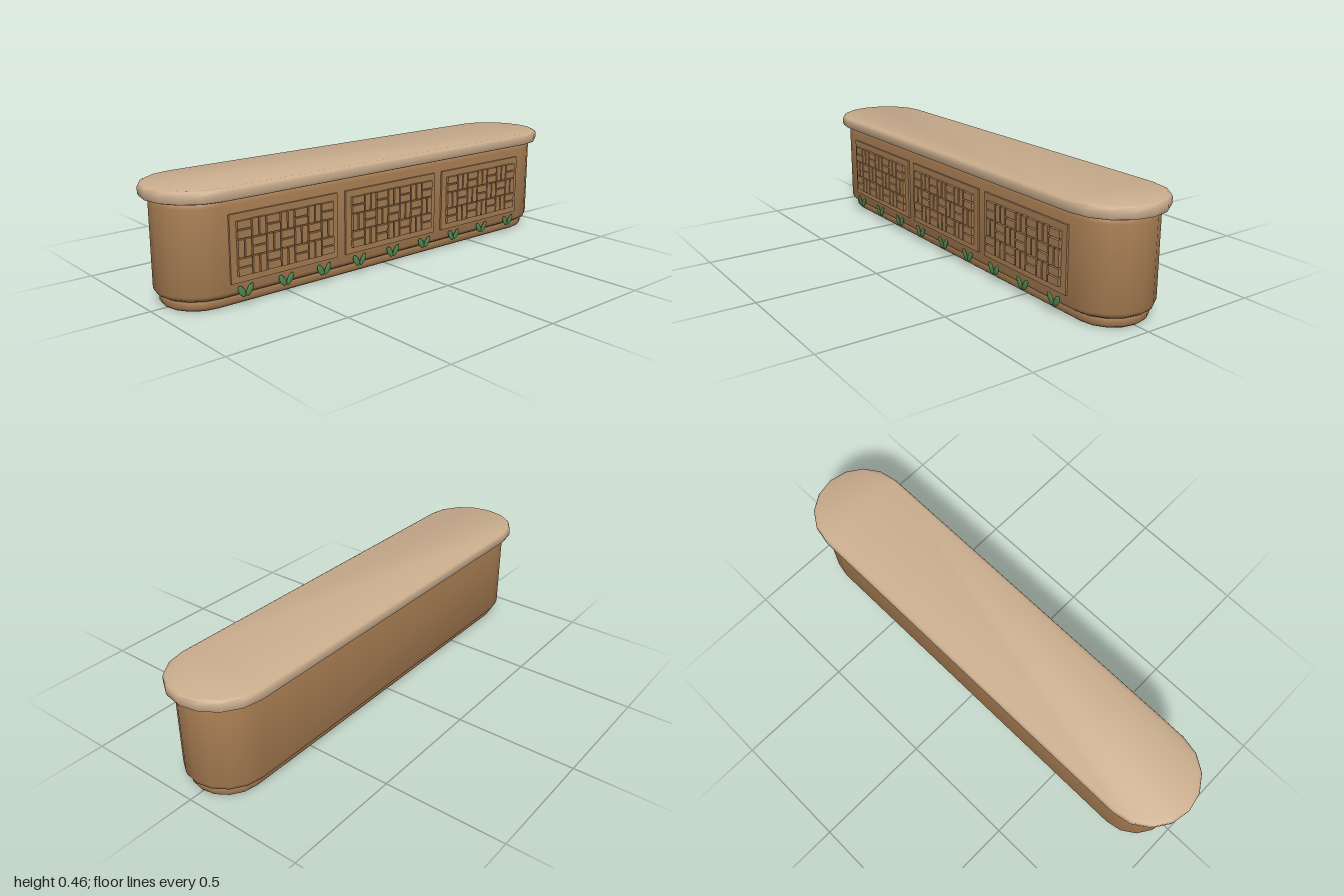
import * as THREE from 'three';
import { toCreasedNormals } from 'three/addons/utils/BufferGeometryUtils.js';

const mat = (name, color) => {
  const m = new THREE.MeshStandardMaterial({ color });
  m.name = name;
  return m;
};

// Capsule-shaped solid: profile is a list of [end radius, y] from bottom to top
function capsuleSolid(cx, profile, seg = 8) {
  const pos = [], index = [], n = 2 * (seg + 1);
  for (const [r, y] of profile) {
    for (let i = 0; i < n; i++) {
      const side = i <= seg ? 1 : -1;
      const a = ((i % (seg + 1)) / seg) * Math.PI - Math.PI / 2;
      pos.push(side * (cx + r * Math.cos(a)), y, -side * r * Math.sin(a));
    }
  }
  for (let k = 0; k < profile.length - 1; k++) {
    for (let i = 0; i < n; i++) {
      const a = k * n + i, b = k * n + (i + 1) % n;
      index.push(a, b, b + n, a, b + n, a + n);
    }
  }
  const top = (profile.length - 1) * n;
  for (let i = 1; i < n - 1; i++) {
    index.push(0, i + 1, i, top, top + i, top + i + 1);
  }
  const g = new THREE.BufferGeometry();
  g.setAttribute('position', new THREE.Float32BufferAttribute(pos, 3));
  g.setIndex(index);
  return toCreasedNormals(g, 0.75);
}

export function createModel() {
  const root = new THREE.Group();
  root.name = 'counter';
  const wood = mat('warm wood', 0xa67c52);
  const tan = mat('pale worktop', 0xcbae8e);
  const green = mat('leaf green', 0x4f8a50);

  const add = (parent, name, geo, material, x = 0, y = 0, z = 0) => {
    const m = new THREE.Mesh(geo, material);
    m.name = name;
    m.position.set(x, y, z);
    parent.add(m);
    return m;
  };

  // Plinth, body and worktop
  add(root, 'plinth', capsuleSolid(0.802,
    [[0.13, 0], [0.138, 0.006], [0.143, 0.014], [0.143, 0.036], [0.138, 0.044]]), wood);
  add(root, 'body', capsuleSolid(0.797,
    [[0.152, 0.042], [0.164, 0.05], [0.169, 0.064], [0.169, 0.384], [0.165, 0.398], [0.156, 0.408]]), wood);
  add(root, 'worktop', capsuleSolid(0.8,
    [[0.185, 0.405], [0.196, 0.409], [0.2, 0.418], [0.2, 0.441], [0.196, 0.45], [0.185, 0.455]]), tan);

  // Front panels with a basket weave of paired slats
  const cols = 7, rows = 3, cw = 0.0625, ch = 0.07;
  const flat = new THREE.BoxGeometry(0.057, 0.029, 0.013);
  const upright = new THREE.BoxGeometry(0.025, 0.066, 0.013);
  for (const px of [-0.527, 0, 0.527]) {
    const panel = new THREE.Group();
    panel.name = 'wovenPanel';
    panel.position.set(px, 0.224, 0);
    root.add(panel);
    add(panel, 'panelBoard', new THREE.BoxGeometry(0.485, 0.258, 0.016), wood, 0, 0, 0.169);
    for (let r = 0; r < rows; r++) {
      for (let c = 0; c < cols; c++) {
        const x = (c - (cols - 1) / 2) * cw, y = (r - 1) * ch;
        for (const s of [-1, 1]) {
          if ((r + c) % 2 === 0) add(panel, 'flatSlat', flat, wood, x, y + s * 0.0175, 0.182);
          else add(panel, 'uprightSlat', upright, wood, x + s * 0.0155, y, 0.182);
        }
      }
    }
  }

  // Row of two-leaf sprouts along the foot of the front
  const leaf = new THREE.SphereGeometry(1, 10, 8).scale(0.013, 0.026, 0.0045);
  for (let i = 0; i < 9; i++) {
    const sprout = new THREE.Group();
    sprout.name = 'sprout';
    sprout.position.set((i - 4) * 0.1785, 0.063, 0.183);
    root.add(sprout);
    for (const s of [-1, 1]) {
      add(sprout, 'leaf', leaf, green, s * 0.017, 0, 0).rotation.z = -s * 0.55;
    }
  }
  return root;
}
